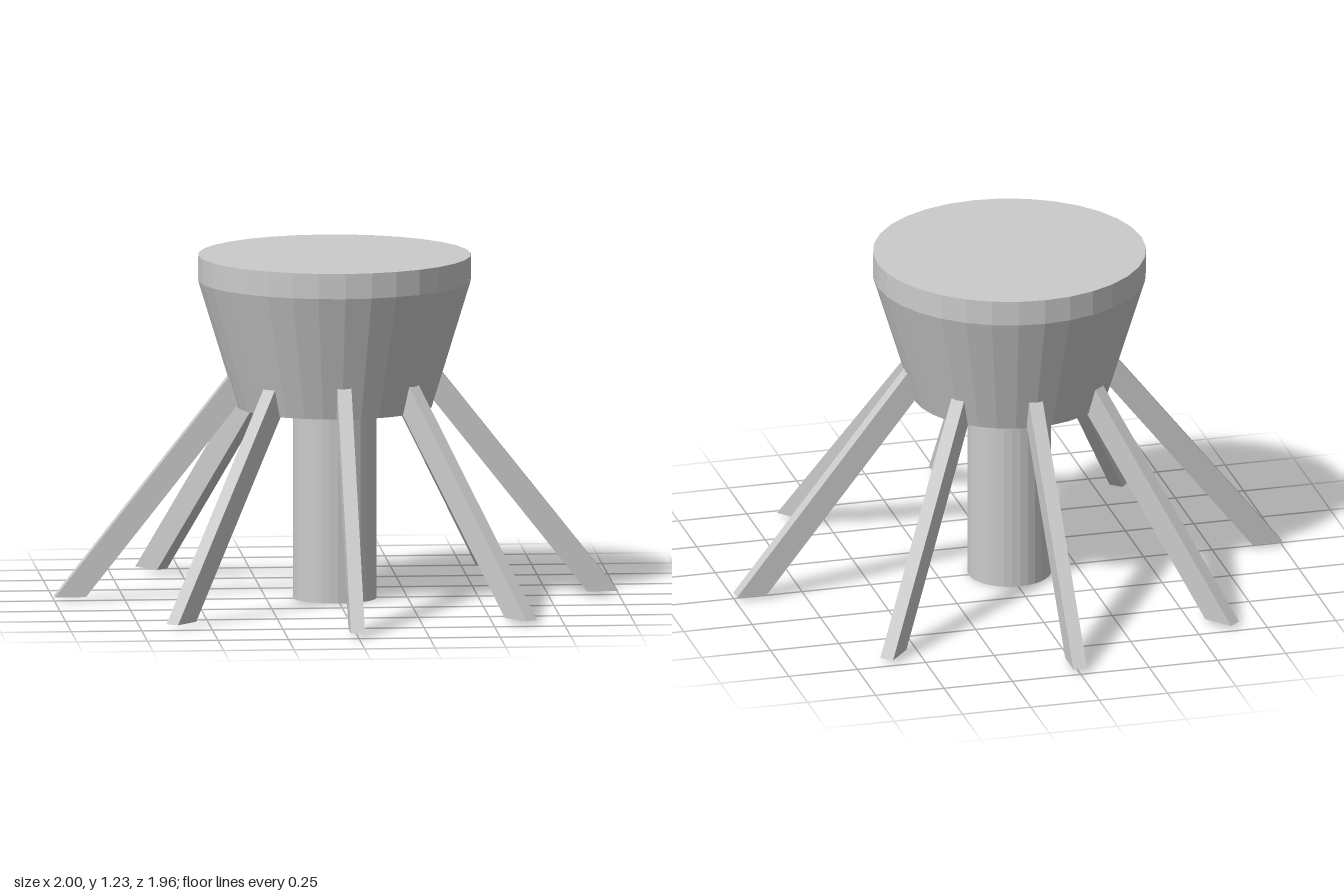
import * as THREE from 'three';

const material = new THREE.MeshStandardMaterial({ color: 0xcccccc, flatShading: true });

// Slanted leg: a parallelogram profile whose outer toe is at the local origin,
// leaning back along -x, extruded to the leg's width.
function makeLeg(name, toeX, toeZ, angle, lean) {
  const foot = 0.11, height = 0.83, width = 0.05;
  const profile = new THREE.Shape([
    new THREE.Vector2(0, 0),
    new THREE.Vector2(-lean * height, height),
    new THREE.Vector2(-lean * height - foot, height),
    new THREE.Vector2(-foot, 0),
  ]);
  const geometry = new THREE.ExtrudeGeometry(profile, { depth: width, bevelEnabled: false });
  geometry.translate(0, 0, -width / 2);
  const leg = new THREE.Mesh(geometry, material);
  leg.name = name;
  leg.position.set(toeX, 0.015, toeZ);
  leg.rotation.y = -angle;
  return leg;
}

export function createModel() {
  const model = new THREE.Group();
  model.name = 'leggedStand';

  // Tapered body with a short upright rim and closed ends
  const bodyProfile = [[0, 0.685], [0.345, 0.685], [0.483, 1.135], [0.483, 1.225], [0, 1.225]]
    .map(([r, y]) => new THREE.Vector2(r, y));
  const body = new THREE.Mesh(new THREE.LatheGeometry(bodyProfile, 32), material);
  body.name = 'body';
  body.position.set(-0.007, 0, -0.007);
  model.add(body);

  // Central column
  const column = new THREE.Mesh(new THREE.CylinderGeometry(0.148, 0.148, 0.7, 32), material);
  column.name = 'centralColumn';
  column.position.set(-0.007, 0.35, -0.005);
  model.add(column);

  // Eight splayed legs
  const legs = new THREE.Group();
  legs.name = 'legs';
  legs.position.set(-0.002, 0, -0.005);
  for (const s of [1, -1]) {
    const across = s > 0 ? 0 : Math.PI;
    legs.add(makeLeg(s > 0 ? 'leftLeg' : 'rightLeg', s * 0.998, 0, across, 0.79));
    legs.add(makeLeg(s > 0 ? 'frontLeg' : 'backLeg', 0, s * 0.98, s * Math.PI / 2, 0.77));
    for (const t of [1, -1]) {
      const name = (t > 0 ? 'front' : 'back') + (s > 0 ? 'Left' : 'Right') + 'Leg';
      const angle = Math.atan2(t * 0.435, s * 0.37);
      legs.add(makeLeg(name, s * 0.637, t * 0.717, angle, 0.76));
    }
  }
  model.add(legs);

  return model;
}
